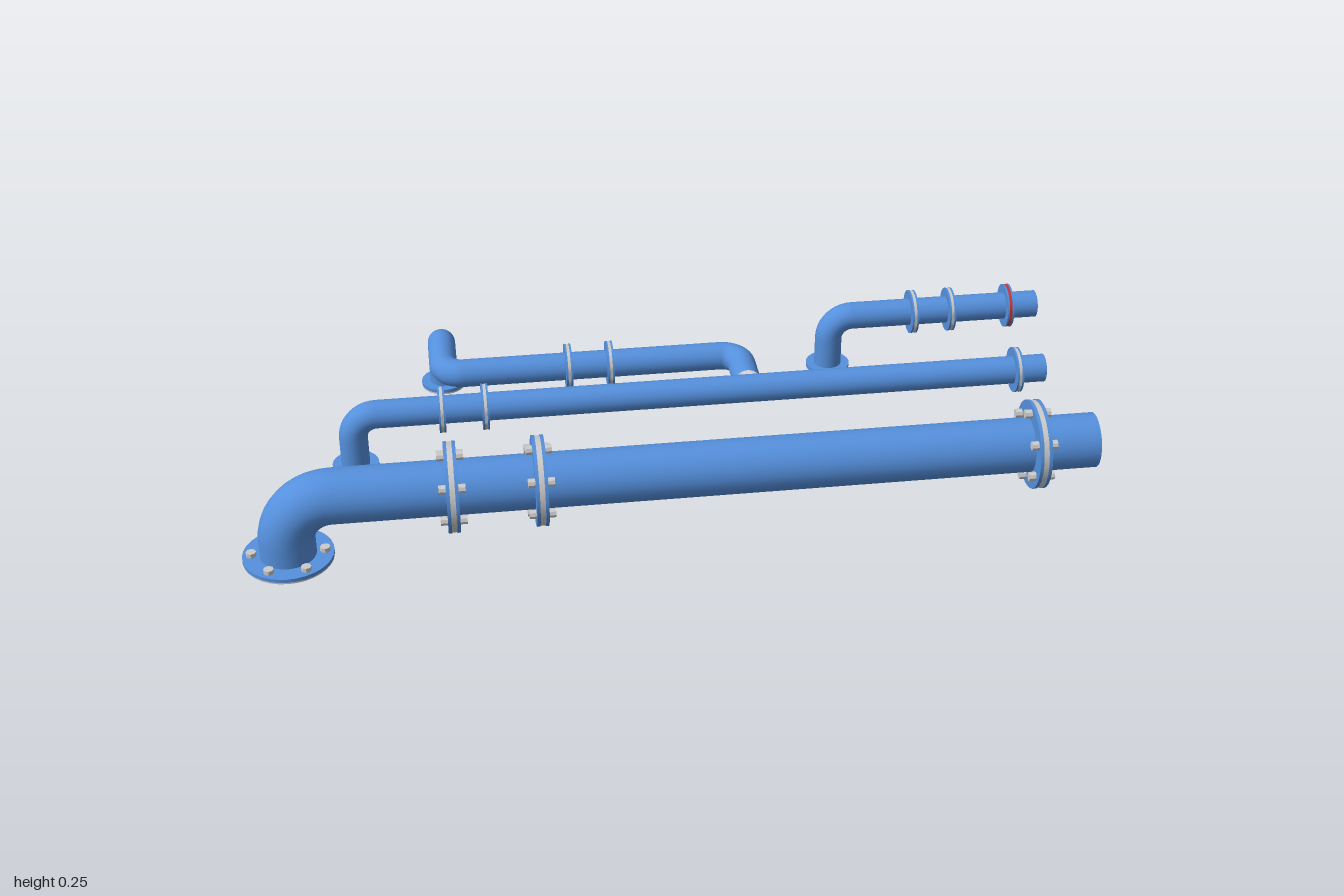
import * as THREE from 'three';
import { mergeGeometries, toCreasedNormals } from 'three/addons/utils/BufferGeometryUtils.js';

const blue = new THREE.MeshStandardMaterial({ color: 0x5590dd });
const grey = new THREE.MeshStandardMaterial({ color: 0xcccccc });
const red = new THREE.MeshStandardMaterial({ color: 0xcc3333 });
const lining = new THREE.MeshStandardMaterial({ color: 0xcccccc, side: THREE.BackSide });
const WALL = 0.86; // inner radius as a share of the outer radius
const ANGLE = -0.461; // all runs share this heading

function mesh(name, geometry, material) {
  const m = new THREE.Mesh(geometry, material);
  m.name = name;
  return m;
}

// Flat ring with sharp edges, standing on y = y0
function ring(inner, outer, y0, t) {
  const p = [[inner, y0], [outer, y0], [outer, y0 + t], [inner, y0 + t], [inner, y0]];
  const g = new THREE.LatheGeometry(p.map(([x, y]) => new THREE.Vector2(x, y)), 32);
  return toCreasedNormals(g, 0.6);
}

// Straight lengths joined by right-angle elbows
function pipeCurves(points, bends) {
  const curves = [];
  let from = points[0];
  for (let i = 1; i < points.length - 1; i++) {
    const p = points[i], r = bends[i - 1];
    const back = points[i - 1].clone().sub(p).normalize();
    const on = points[i + 1].clone().sub(p).normalize();
    const at = (dir, d) => p.clone().addScaledVector(dir, d);
    const a = at(back, r), b = at(on, r);
    curves.push([new THREE.LineCurve3(from, a), 1]);
    curves.push([new THREE.CubicBezierCurve3(a, at(back, r * 0.448), at(on, r * 0.448), b), 10]);
    from = b;
  }
  curves.push([new THREE.LineCurve3(from, points[points.length - 1]), 1]);
  return curves;
}

function sweep(curves, radius) {
  return mergeGeometries(curves.map(([c, n]) => new THREE.TubeGeometry(c, n, radius, 28, false)));
}

// Circle of hexagonal bolts along y
function addBolts(group, circle, length, y, size) {
  for (let i = 0; i < 6; i++) {
    const a = (i * Math.PI) / 3;
    const bolt = mesh('bolt', toCreasedNormals(new THREE.CylinderGeometry(size, size, length, 8), 0.3), grey);
    bolt.position.set(Math.cos(a) * circle, y, Math.sin(a) * circle);
    group.add(bolt);
  }
}

// Two blue discs with a gasket between them, facing along x
function flangeJoint(r, outer, t, bolted, gasketMaterial) {
  const g = new THREE.Group();
  g.name = 'flangeJoint';
  const disc = t * 0.28;
  g.add(mesh('flangeDisc', ring(r * 0.95, outer, -t / 2, disc), blue));
  g.add(mesh('flangeDisc', ring(r * 0.95, outer, t / 2 - disc, disc), blue));
  g.add(mesh('gasket', ring(r * 0.95, outer * 0.985, -t / 2 + disc, t - 2 * disc), gasketMaterial));
  if (bolted) addBolts(g, outer * 0.8, t + 0.03, 0, 0.01);
  g.rotation.z = -Math.PI / 2;
  return g;
}

function pipeRun({ name, base, path, bends, r, outer, joints, thick, bolted, open = true }) {
  const run = new THREE.Group();
  run.name = name;
  const points = path.map((p) => new THREE.Vector3(...p));
  const curves = pipeCurves(points, bends);
  run.add(mesh('pipe', sweep(curves, r), blue));
  run.add(mesh('pipeLining', sweep(curves, r * WALL), lining));

  // Foot flange with gasket below
  run.add(mesh('footFlange', ring(r * WALL, outer, 0.004, 0.008), blue));
  run.add(mesh('footGasket', ring(r * WALL, outer * 0.99, 0, 0.004), grey));
  if (bolted) addBolts(run, outer * 0.8, 0.018, 0.013, 0.011);

  // Rim closing the wall at the open end
  if (open) {
    const rim = mesh('pipeRim', ring(r * WALL, r, -0.004, 0.004), blue);
    rim.rotation.z = -Math.PI / 2;
    rim.position.copy(points[points.length - 1]);
    run.add(rim);
  }

  for (const [x, z, material = grey] of joints) {
    const joint = flangeJoint(r, outer, thick, bolted, material);
    joint.position.set(x, points[1].y, z);
    run.add(joint);
  }
  run.position.set(base[0], 0, base[1]);
  run.rotation.y = ANGLE;
  return run;
}

export function createModel() {
  const model = new THREE.Group();
  model.name = 'pipework';
  const small = { r: 0.032, outer: 0.052, thick: 0.015, bolted: false };
  const y = 0.136;

  model.add(pipeRun({
    name: 'mainPipe', base: [-0.905, -0.168], r: 0.06, outer: 0.097, thick: 0.026, bolted: true,
    path: [[0, 0, 0], [0, 0.148, 0], [1.743, 0.148, 0]], bends: [0.1],
    joints: [[0.352, 0], [0.537, 0], [1.611, 0]],
  }));
  model.add(pipeRun({
    ...small, name: 'longSmallPipe', base: [-0.628, -0.404],
    path: [[0, 0, 0], [0, y, 0], [1.583, y, 0]], bends: [0.055],
    joints: [[0.2, 0], [0.297, 0], [1.517, 0]],
  }));
  model.add(pipeRun({
    ...small, name: 'branchPipe', base: [-0.286, -0.618], open: false,
    path: [[0, 0, 0], [0, y, 0], [0, y, 0.19], [0.685, y, 0.19], [0.685, y, 0.318]],
    bends: [0.055, 0.045, 0.045],
    joints: [[0.286, 0.19], [0.382, 0.19]],
  }));
  model.add(pipeRun({
    ...small, name: 'shortPipe', base: [0.527, -0.168],
    path: [[0, 0, 0], [0, y, 0], [0.507, y, 0]], bends: [0.055],
    joints: [[0.202, 0], [0.293, 0], [0.436, 0, red]],
  }));
  return model;
}
